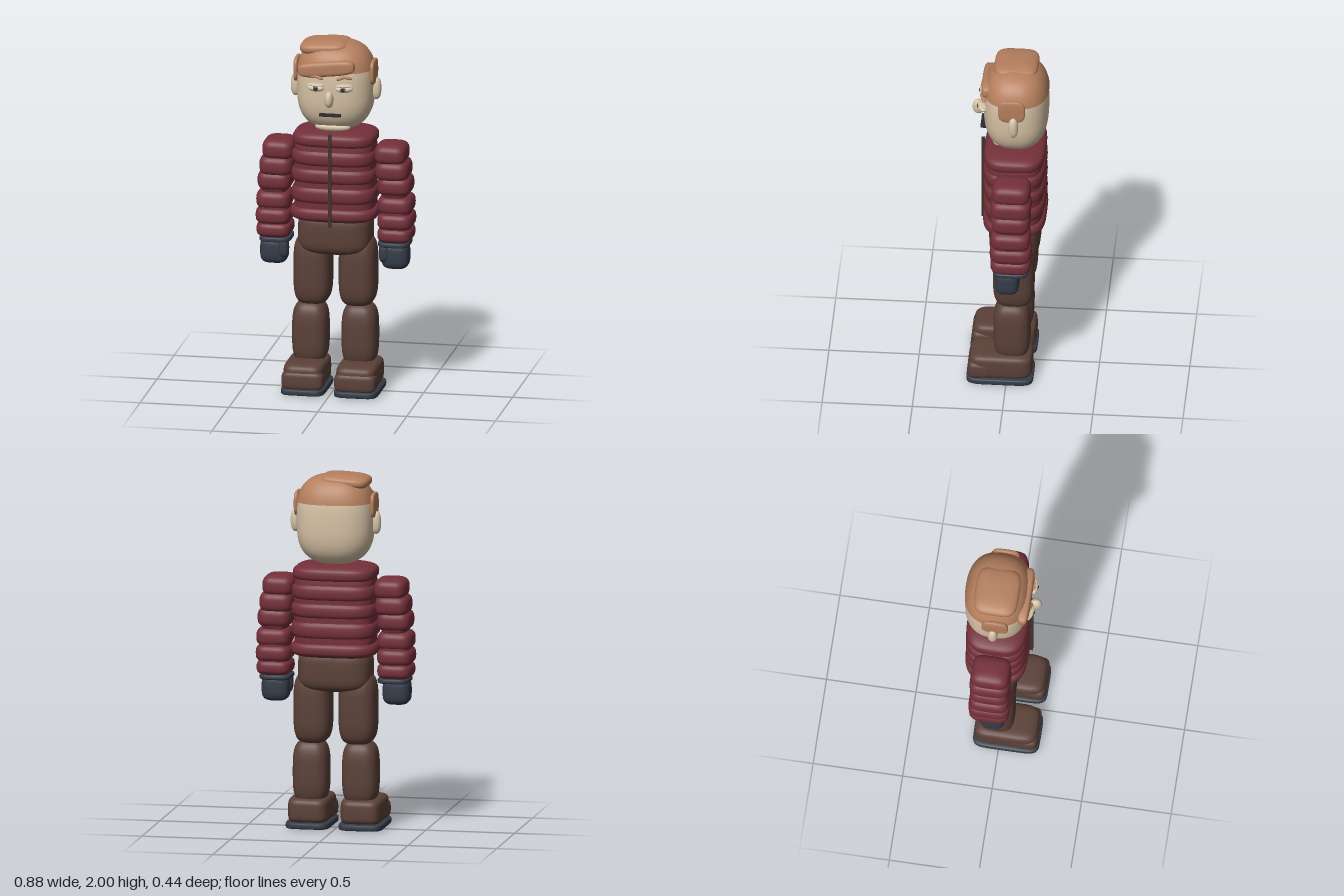
import * as THREE from 'three';
import { mergeVertices } from 'three/addons/utils/BufferGeometryUtils.js';

const material = (name, color) => {
  const m = new THREE.MeshStandardMaterial({ color });
  m.name = name;
  return m;
};

// Rounded cushion: a sphere squared off in plan (np) and in profile (nv); cut is the polar extent.
function cushion(w, h, d, np = 4, nv = 3, cut = Math.PI) {
  const g = new THREE.SphereGeometry(1, 40, 24, 0, Math.PI * 2, 0, cut);
  g.deleteAttribute('uv');
  g.deleteAttribute('normal');
  const p = g.attributes.position;
  const pow = (v, n) => (Math.abs(v) < 1e-6 ? 0 : Math.sign(v) * Math.abs(v) ** (2 / n));
  for (let i = 0; i < p.count; i++) {
    const x = p.getX(i), y = p.getY(i), z = p.getZ(i);
    const r = Math.hypot(x, z) || 1e-9;
    const k = pow(r, nv);
    p.setXYZ(i, pow(x / r, np) * k * w / 2, pow(y, nv) * h / 2, pow(z / r, np) * k * d / 2);
  }
  const merged = mergeVertices(g, 1e-5);
  merged.computeVertexNormals();
  return merged;
}

export function createModel() {
  const skin = material('skin', 0xd6c2a5);
  const hair = material('hair', 0xb57f5e);
  const jacket = material('jacket', 0x74303a);
  const trousers = material('trousers', 0x5b4138);
  const rubber = material('glove and sole', 0x343c48);
  const zip = material('zip', 0x43312d);
  const dark = material('mouth and pupil', 0x2b2a30);
  const eyeWhite = material('eye white', 0xdccfb8);
  const iris = material('iris', 0x6b6660);

  const model = new THREE.Group();
  model.name = 'figure';
  const add = (name, geometry, mat, x, y, z, rz = 0, ry = 0) => {
    const m = new THREE.Mesh(geometry, mat);
    m.name = name;
    m.position.set(x, y, z);
    m.rotation.set(0, ry, rz);
    model.add(m);
    return m;
  };

  // Quilted jacket body: [y, width, height, depth]
  [
    [1.442, 0.465, 0.108, 0.34],
    [1.342, 0.475, 0.135, 0.345],
    [1.24, 0.48, 0.13, 0.345],
    [1.13, 0.48, 0.145, 0.345],
    [1.02, 0.49, 0.108, 0.35],
  ].forEach(([y, w, h, d], i) =>
    add(i ? 'jacketPuff' : 'collar', cushion(w, h, d, 3.6, 3), jacket, 0, y, -0.035));
  add('jacketCore', cushion(0.45, 0.48, 0.32, 3.6, 8), jacket, 0, 1.22, -0.035);
  add('zip', new THREE.BoxGeometry(0.016, 0.53, 0.022), zip, 0, 1.225, 0.143);

  // Hips
  add('hips', cushion(0.41, 0.25, 0.285, 3.6, 4), trousers, 0, 0.9, -0.035);

  // Head and hair
  add('head', cushion(0.43, 0.495, 0.36, 2.5, 2.8), skin, 0, 1.737, -0.04);
  add('chin', cushion(0.2, 0.05, 0.08, 2.2, 2.2), skin, 0, 1.515, 0.055);
  add('hairCap', cushion(0.442, 0.506, 0.374, 2.5, 2.8, 1.283), hair, 0, 1.737, -0.04);
  add('hairTop', cushion(0.275, 0.08, 0.245, 4, 2.6), hair, -0.057, 1.957, -0.037, 0.06);
  add('fringe', cushion(0.32, 0.085, 0.065, 4, 3.5), hair, -0.025, 1.862, 0.118, 0.11);
  add('nose', cushion(0.048, 0.09, 0.065, 2, 2.3), skin, 0, 1.7, 0.171);
  add('mouth', new THREE.BoxGeometry(0.12, 0.013, 0.03), dark, 0, 1.603, 0.141);

  // Paired parts
  for (const s of [1, -1]) {
    add('sideburn', cushion(0.03, 0.138, 0.15, 3.5, 3.5), hair, s * 0.215, 1.822, -0.028);
    add('ear', cushion(0.055, 0.128, 0.054, 2.2, 2.3), skin, s * 0.227, 1.724, -0.038);

    // Eyes and brows
    add('eye', cushion(0.096, 0.042, 0.055, 2, 2), eyeWhite, s * 0.08, 1.757, 0.141, 0, s * 0.2);
    add('upperLid', cushion(0.1, 0.018, 0.06, 2, 2), skin, s * 0.08, 1.775, 0.139, 0, s * 0.2);
    add('iris', cushion(0.03, 0.03, 0.01, 2, 2), iris, s * 0.077, 1.758, 0.167, 0, s * 0.1);
    add('pupil', cushion(0.016, 0.018, 0.008, 2, 2), dark, s * 0.076, 1.758, 0.171);
    add('browInner', cushion(0.05, 0.016, 0.024, 3, 2.5), hair, s * 0.062, 1.818, 0.147, s * 0.35, s * 0.15);
    add('browOuter', cushion(0.05, 0.015, 0.024, 3, 2.5), hair, s * 0.098, 1.819, 0.137, -s * 0.25, s * 0.3);

    // Quilted sleeve: [x, y, width, height, depth]
    [
      [0.315, 1.36, 0.18, 0.125, 0.215],
      [0.326, 1.268, 0.19, 0.13, 0.225],
      [0.337, 1.182, 0.19, 0.125, 0.215],
      [0.342, 1.072, 0.195, 0.118, 0.22],
      [0.342, 0.982, 0.2, 0.112, 0.232],
      [0.34, 0.903, 0.195, 0.1, 0.225],
    ].forEach(([x, y, w, h, d]) =>
      add('sleevePuff', cushion(w, h, d, 4, 3), jacket, s * x, y, -0.035));
    add('sleeveCore', cushion(0.15, 0.3, 0.19, 4, 6), jacket, s * 0.328, 1.25, -0.035, s * 0.1);
    add('sleeveEnd', cushion(0.17, 0.26, 0.2, 4, 6), jacket, s * 0.341, 0.99, -0.035);

    // Glove
    add('gloveCuff', cushion(0.178, 0.036, 0.2, 4, 4), rubber, s * 0.333, 0.848, -0.035);
    add('glove', cushion(0.155, 0.155, 0.135, 3.5, 3.5), rubber, s * 0.341, 0.782, -0.015);
    add('thumb', cushion(0.06, 0.11, 0.065, 3, 3), rubber, s * 0.284, 0.8, 0.025);

    // Leg
    add('thigh', cushion(0.21, 0.4, 0.23, 3.2, 4), trousers, s * 0.127, 0.68, -0.035);
    add('shin', cushion(0.2, 0.36, 0.205, 3.2, 3.6), trousers, s * 0.139, 0.318, -0.026);

    // Boot
    add('boot', cushion(0.23, 0.15, 0.35, 5, 5), trousers, s * 0.148, 0.105, 0.032);
    add('toeCap', cushion(0.236, 0.115, 0.14, 5, 4), trousers, s * 0.148, 0.085, 0.145);
    add('sole', cushion(0.25, 0.044, 0.372, 6, 5), rubber, s * 0.149, 0.022, 0.037);
  }
  return model;
}
